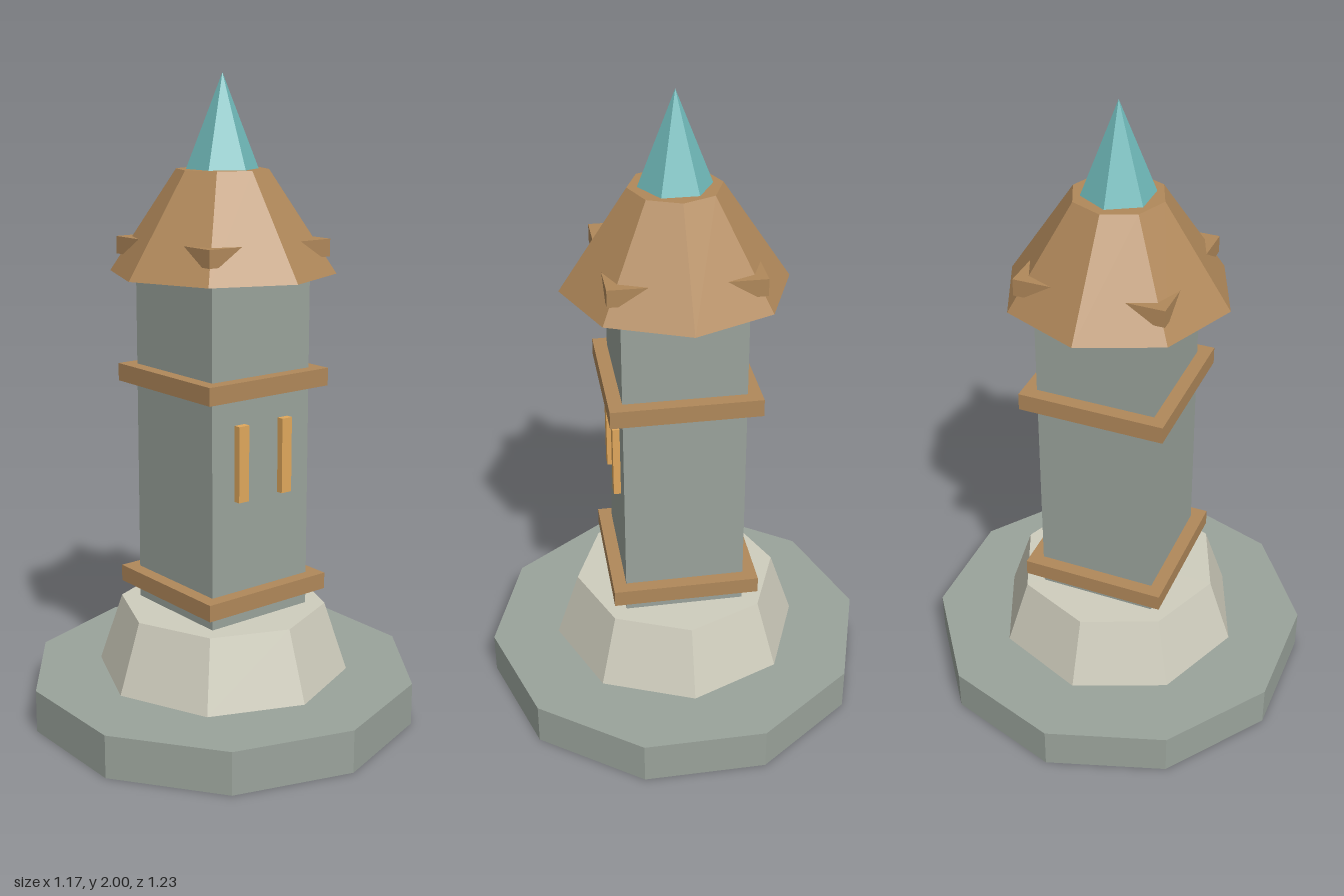
import * as THREE from 'three';

const material = (color) => new THREE.MeshStandardMaterial({ color, flatShading: true });

export function createModel() {
  const group = new THREE.Group();
  group.name = 'tower';

  const stone = material(0x9aa39b);
  const paleStone = material(0xcfcdbd);
  const wood = material(0xb0885a);
  const crystal = material(0x70baba);
  const glow = material(0xe0a85c);

  const add = (name, geometry, mat, x, y, z) => {
    const mesh = new THREE.Mesh(geometry, mat);
    mesh.name = name;
    mesh.position.set(x, y, z);
    group.add(mesh);
  };

  // Faceted solid between two heights
  const prism = (name, mat, sides, rBottom, rTop, y0, y1) =>
    add(name, new THREE.CylinderGeometry(rTop, rBottom, y1 - y0, sides), mat, 0, (y0 + y1) / 2, 0);

  // Square block between two heights
  const block = (name, mat, width, y0, y1) =>
    add(name, new THREE.BoxGeometry(width, y1 - y0, width), mat, 0, (y0 + y1) / 2, 0);

  // Plinth and sloped footing
  prism('plinth', stone, 10, 0.617, 0.617, 0, 0.135);
  prism('footing', paleStone, 8, 0.4, 0.327, 0.135, 0.355);

  // Square shaft
  block('shaft', stone, 0.376, 0.34, 1.43);

  // Wooden bands; the top one pokes its corners through the roof
  [[0.405, 0.457], [1.065, 1.12], [1.462, 1.515]].forEach(([y0, y1], i) =>
    block(`band${i + 1}`, wood, 0.46, y0, y1));

  // Narrow windows on the front
  for (const side of [-1, 1]) {
    add(side > 0 ? 'leftWindow' : 'rightWindow',
      new THREE.BoxGeometry(0.038, 0.235, 0.04), glow, side * 0.084, 0.863, 0.19);
  }

  // Roof and pointed spire
  prism('roof', wood, 8, 0.346, 0.14, 1.41, 1.72);
  add('spire', new THREE.ConeGeometry(0.11, 0.28, 6), crystal, 0, 1.86, 0);

  return group;
}
